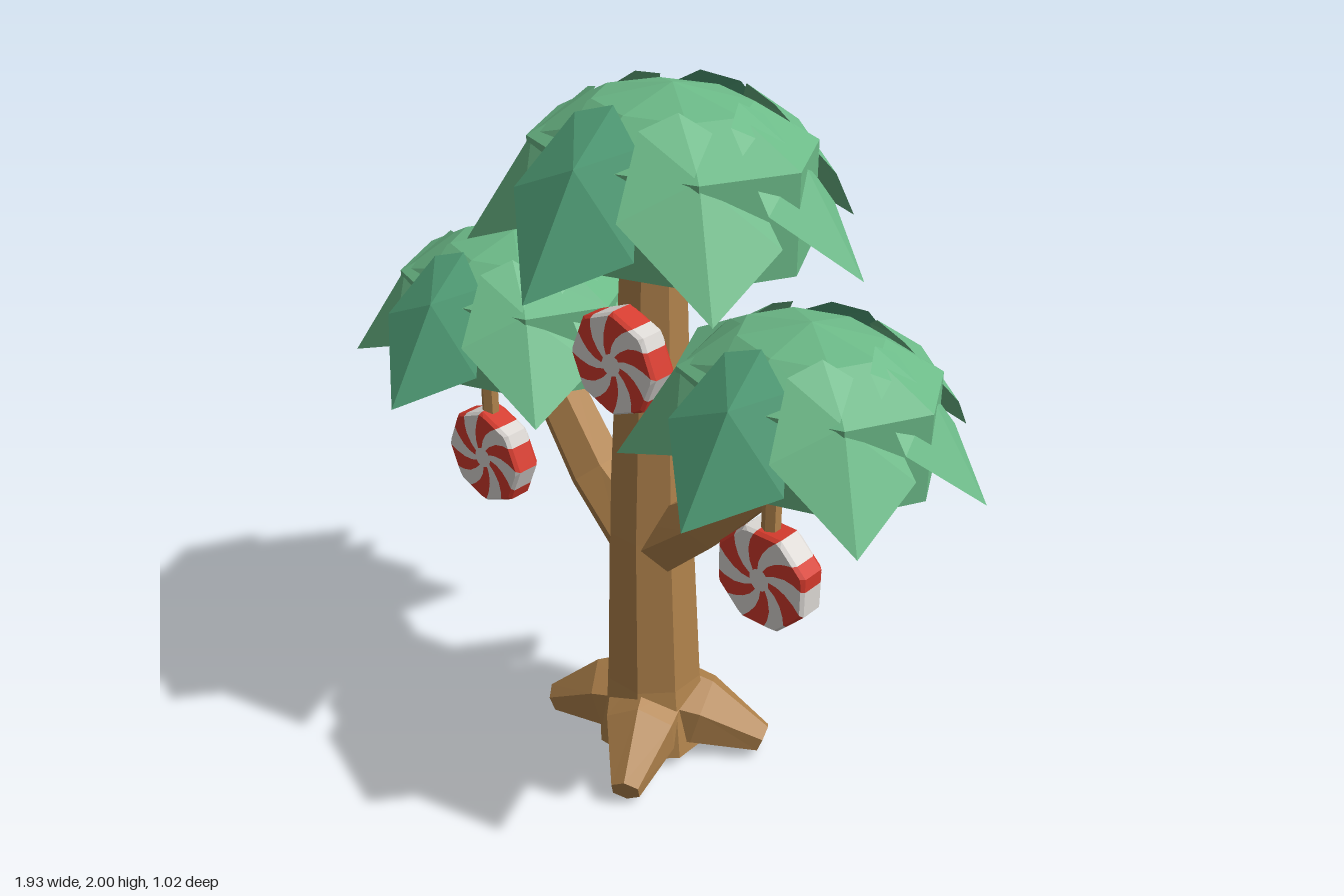
import * as THREE from 'three';

const V = (x, y, z) => new THREE.Vector3(x, y, z);
const mat = (name, color, side = THREE.FrontSide) => {
  const m = new THREE.MeshStandardMaterial({ color, side });
  m.name = name;
  return m;
};

// Faceted geometry from a flat list of triangle corners
function facets(points) {
  const g = new THREE.BufferGeometry().setFromPoints(points);
  g.computeVertexNormals();
  return g;
}

// Faceted limb: rings of given radii along a path, closed at both ends
function limb(path, radii, sides, ref) {
  const rings = path.map((p, i) => {
    const t = path[Math.min(i + 1, path.length - 1)].clone().sub(path[Math.max(i - 1, 0)]).normalize();
    const u = ref.clone().cross(t).normalize();
    const v = t.clone().cross(u);
    return Array.from({ length: sides }, (_, j) => {
      const a = ((j + 0.5) / sides) * Math.PI * 2;
      return p.clone().addScaledVector(u, Math.cos(a) * radii[i]).addScaledVector(v, Math.sin(a) * radii[i]);
    });
  });
  const tris = [];
  const last = path.length - 1;
  for (let j = 0; j < sides; j++) {
    const k = (j + 1) % sides;
    for (let i = 0; i < last; i++) {
      const [a, b, c, d] = [rings[i][j], rings[i][k], rings[i + 1][k], rings[i + 1][j]];
      tris.push(a, b, c, a, c, d);
    }
    tris.push(path[0], rings[0][k], rings[0][j], path[last], rings[last][j], rings[last][k]);
  }
  return facets(tris);
}

// Octagonal disc with curved red arms on both faces and around the rim
function candyGeometry(R, depth) {
  const arms = 6, steps = 8, count = arms * steps;
  const h = depth / 2;
  const face = [0, 0.22, 0.4, 0.6, 0.8, 0.95];
  const profile = [
    ...face.map((f) => [f, h]), [1, h * 0.75], [1, -h * 0.75],
    ...face.slice().reverse().map((f) => [f, -h]),
  ];
  const point = ([f, z], j) => {
    const a = (j / count) * Math.PI * 2 + (1 - f) * 0.75;
    const sector = Math.PI / 4;
    const local = (((a % sector) + sector) % sector) - sector / 2;
    const r = (f * R * Math.cos(sector / 2)) / Math.cos(local);
    return V(Math.cos(a) * r, Math.sin(a) * r, z);
  };
  const red = [], white = [];
  for (let k = 0; k < profile.length - 1; k++) {
    const hub = Math.max(profile[k][0], profile[k + 1][0]) < 0.3;
    for (let j = 0; j < count; j++) {
      const list = !hub && j % steps < steps / 2 ? red : white;
      const a = point(profile[k], j), b = point(profile[k + 1], j);
      const c = point(profile[k + 1], j + 1), d = point(profile[k], j + 1);
      if (profile[k + 1][0] > 0) list.push(a, b, c);
      if (profile[k][0] > 0) list.push(a, c, d);
    }
  }
  const g = facets([...red, ...white]);
  g.addGroup(0, red.length, 0);
  g.addGroup(red.length, white.length, 1);
  return g;
}

// Drooping leaf, twisted to one side, resting on the crown with its tip at +z
function leafGeometry() {
  const mid = V(0, -0.135, 0.35);
  const edge = [
    V(0, -0.42, 0.53), V(0.2, -0.31, 0.36), V(0.1, -0.09, 0.24),
    V(-0.02, -0.02, 0.19), V(-0.12, -0.05, 0.22), V(-0.195, -0.22, 0.36),
  ];
  return facets(edge.flatMap((p, i) => [mid, p, edge[(i + 1) % edge.length]]));
}

export function createModel() {
  const tree = new THREE.Group();
  tree.name = 'candyTree';
  const bark = mat('bark brown', 0xb1834c);
  const green = mat('leaf green', 0x6cba88, THREE.DoubleSide);
  const deepGreen = mat('deep leaf green', 0x54a57c, THREE.DoubleSide);
  const red = mat('candy red', 0xd43a2c);
  const white = mat('candy white', 0xdcd8d4);

  const add = (parent, name, geometry, material) => {
    const m = new THREE.Mesh(geometry, material);
    m.name = name;
    parent.add(m);
    return m;
  };

  // Trunk
  const zAxis = V(0, 0, 1), yAxis = V(0, 1, 0);
  add(tree, 'trunk', limb(
    [V(0.005, 0.03, 0.02), V(0.005, 0.25, 0.02), V(0.0, 0.75, 0.025), V(0.015, 1.58, 0.03)],
    [0.175, 0.143, 0.125, 0.09], 8, zAxis), bark);

  // Four splayed roots
  [[0.16, 0.315], [0.305, -0.13], [-0.165, -0.265], [-0.29, 0.14]].forEach(([x, z], i) => {
    add(tree, 'root' + (i + 1), limb(
      [V(0, 0.14, 0.02), V(x * 0.46, 0.118, 0.02 + (z - 0.02) * 0.46), V(x, 0.05, z)],
      [0.14, 0.112, 0.045], 6, yAxis), bark);
  });

  // Two bent branches
  for (const [name, s, end] of [['leftBranch', 1, 0.465], ['rightBranch', -1, 0.4]]) {
    add(tree, name, limb(
      [V(0, 0.685, 0.03), V(s * 0.205, 0.85, 0.03), V(s * end, 1.13, 0.03)],
      [0.108, 0.085, 0.073], 6, zAxis), bark);
  }

  // Leafy crowns: faceted body under a ring of seven leaves
  const profile = [[0, -0.535], [0.4, -0.4], [0.4, -0.14], [0.22, -0.045], [0, 0]];
  const body = new THREE.LatheGeometry(profile.map(([r, y]) => new THREE.Vector2(r, y)), 8)
    .scale(1, 1, 0.81).toNonIndexed();
  body.computeVertexNormals();
  const leaf = leafGeometry();
  const crown = (name, x, y, z, size) => {
    const g = new THREE.Group();
    g.name = name;
    add(g, 'crownBody', body, green);
    for (let i = 0; i < 7; i++) {
      const l = add(g, 'leaf' + (i + 1), leaf, i === 0 || i === 4 ? deepGreen : green);
      l.rotation.y = (i / 7) * Math.PI * 2;
    }
    g.position.set(x, y, z);
    g.scale.setScalar(size);
    tree.add(g);
  };
  crown('topCrown', 0.025, 2, -0.03, 1);
  crown('leftCrown', 0.52, 1.53, 0.03, 0.885);
  crown('rightCrown', -0.495, 1.5, 0.04, 0.89);

  // Swirl candies: one on the trunk, two hanging from short stems
  const disc = candyGeometry(0.147, 0.085);
  const stem = new THREE.CylinderGeometry(0.025, 0.025, 0.18, 6).toNonIndexed();
  stem.computeVertexNormals();
  for (const [name, x, y, turn, hanging] of [
    ['middleCandy', 0.02, 1.313, 0, false],
    ['leftCandy', 0.52, 0.878, Math.PI * 0.375, true],
    ['rightCandy', -0.5, 0.845, 0, true],
  ]) {
    const g = new THREE.Group();
    g.name = name;
    add(g, 'candyDisc', disc, [red, white]).rotation.z = turn;
    if (hanging) add(g, 'candyStem', stem, bark).position.y = 0.2;
    g.position.set(x, y, 0.157);
    tree.add(g);
  }
  return tree;
}
